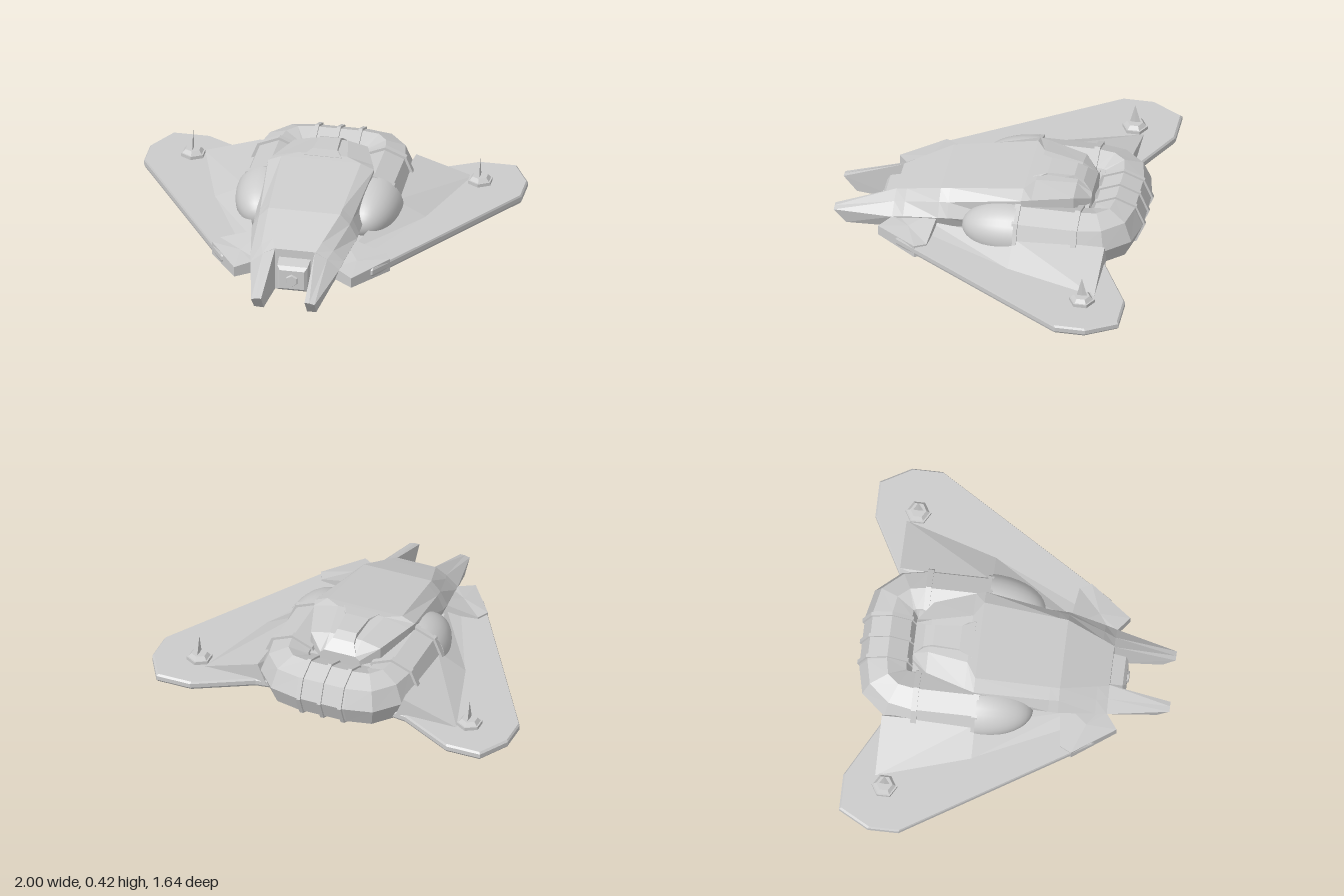
import * as THREE from 'three';

const material = new THREE.MeshStandardMaterial({ color: 0xcccccc, flatShading: true });
const smooth = new THREE.MeshStandardMaterial({ color: 0xcccccc });

// Skin between closed rings of [x, y, z] points, capped at both ends; faces always point outwards.
function loft(rings) {
  const n = rings[0].length, tris = [];
  for (let r = 0; r < rings.length - 1; r++) {
    for (let i = 0; i < n; i++) {
      const j = (i + 1) % n, a = rings[r], b = rings[r + 1];
      tris.push([a[i], a[j], b[j]], [a[i], b[j], b[i]]);
    }
  }
  const cap = (ring, flip) => {
    const c = [0, 1, 2].map((k) => ring.reduce((sum, p) => sum + p[k], 0) / n);
    ring.forEach((p, i) => {
      const q = ring[(i + 1) % n];
      tris.push(flip ? [c, q, p] : [c, p, q]);
    });
  };
  cap(rings[0], true);
  cap(rings[rings.length - 1], false);
  let volume = 0;
  const v = (p) => new THREE.Vector3(...p);
  for (const [a, b, c] of tris) volume += v(a).dot(v(b).cross(v(c)));
  const flat = tris.flatMap(([a, b, c]) => (volume < 0 ? [...a, ...c, ...b] : [...a, ...b, ...c]));
  const geometry = new THREE.BufferGeometry();
  geometry.setAttribute('position', new THREE.Float32BufferAttribute(flat, 3));
  geometry.computeVertexNormals();
  return geometry;
}

export function createModel() {
  const model = new THREE.Group();
  const add = (name, geometry, x = 0, y = 0, z = 0, mat = material) => {
    const mesh = new THREE.Mesh(geometry, mat);
    mesh.name = name;
    mesh.position.set(x, y, z);
    model.add(mesh);
    return mesh;
  };
  const box = (name, w, h, d, x, y, z) => add(name, new THREE.BoxGeometry(w, h, d), x, y, z);
  const mirrored = (rings, s) => rings.map((ring) => ring.map(([x, y, z]) => [x * s, y, z]));

  // Hull: half sections (top edge, shoulder, side, chamfer, belly) mirrored into full rings
  const hullSections = [
    [0.5, [0.11, 0.24], [0.17, 0.205], [0.235, 0.15], [0.2, 0.065], [0.11, 0.005]],
    [0.44, [0.13, 0.265], [0.19, 0.225], [0.246, 0.17], [0.21, 0.072], [0.11, 0]],
    [0.25, [0.19, 0.34], [0.24, 0.285], [0.28, 0.21], [0.23, 0.095], [0.11, 0.032]],
    [0.2, [0.192, 0.348], [0.245, 0.293], [0.28, 0.215], [0.23, 0.1], [0.11, 0.04]],
    [-0.19, [0.21, 0.41], [0.28, 0.38], [0.28, 0.23], [0.21, 0.1], [0.11, 0.06]],
    [-0.24, [0.13, 0.415], [0.265, 0.38], [0.27, 0.24], [0.2, 0.1], [0.11, 0.06]],
    [-0.45, [0.09, 0.395], [0.195, 0.37], [0.2, 0.25], [0.15, 0.12], [0.1, 0.08]],
    [-0.53, [0.085, 0.34], [0.11, 0.32], [0.12, 0.25], [0.1, 0.15], [0.08, 0.11]],
  ];
  add('hull', loft(hullSections.map(([z, ...half]) => [
    ...half.map(([x, y]) => [x, y, z]),
    ...half.slice().reverse().map(([x, y]) => [-x, y, z]),
  ])));

  // Raised spine behind the canopy, belly keel
  add('spine', loft([[-0.22, 0.1, 0.405, 0.415], [-0.29, 0.065, 0.38, 0.42],
    [-0.43, 0.055, 0.36, 0.415], [-0.48, 0.06, 0.33, 0.39], [-0.53, 0.09, 0.28, 0.34]].map(([z, w, low, high]) => [
    [w * 1.2, low, z], [w, high, z], [-w, high, z], [-w * 1.2, low, z],
  ])));
  box('keel', 0.22, 0.07, 0.53, 0, 0.065, -0.065);

  // Nose cannon between the prongs
  add('noseHousing', loft([[0.48, 0.085, 0.03, 0.2], [0.565, 0.08, 0.04, 0.18], [0.58, 0.065, 0.055, 0.16]].map(
    ([z, w, low, high]) => [[w, low, z], [w, high, z], [-w, high, z], [-w, low, z]])));
  const muzzle = new THREE.CylinderGeometry(0.03, 0.045, 0.03, 6).rotateX(Math.PI / 2);
  add('noseMuzzle', muzzle, 0, 0.105, 0.575);

  // Horseshoe engine: an octagon swept around the tail
  const halfPath = [[0.28, -0.15], [0.28, -0.5], [0.265, -0.585], [0.215, -0.645], [0.13, -0.66]];
  const path = [...halfPath, ...halfPath.slice().reverse().map(([x, z]) => [-x, z])];
  const engineY = 0.2, engineRadius = 0.145;
  add('horseshoeEngine', loft(path.map(([x, z], i) => {
    const a = path[Math.max(i - 1, 0)], b = path[Math.min(i + 1, path.length - 1)];
    const length = Math.hypot(b[0] - a[0], b[1] - a[1]);
    const nx = -(b[1] - a[1]) / length, nz = (b[0] - a[0]) / length;
    return Array.from({ length: 8 }, (_, k) => {
      const t = (k * Math.PI) / 4, out = engineRadius * Math.cos(t);
      return [x + nx * out, engineY + engineRadius * Math.sin(t), z + nz * out];
    });
  })));
  for (const x of [-0.115, 0, 0.115]) {
    add('rearEngineBand', new THREE.CylinderGeometry(0.157, 0.157, 0.02, 8).rotateZ(Math.PI / 2), x, engineY, -0.66);
  }

  // Outline points [x, z] stacked into a plate
  const wingOutline = [[0.15, 0.45], [0.4, 0.45], [0.47, 0.34], [1, -0.5], [1, -0.66],
    [0.91, -0.82], [0.72, -0.82], [0.42, -0.66], [0.15, -0.62]];
  const rootOutline = [[0.2, 0.48, 0.15], [0.23, 0.5, 0.15], [0.31, 0.56, 0.14],
    [0.47, 0.34, 0.155], [0.44, 0.28, 0.155], [0.2, 0.25, 0.22]];

  for (const s of [1, -1]) {
    const side = s > 0 ? 'left' : 'right';

    // Front prong
    add(side + 'Prong', loft(mirrored([
      [[0.105, 0.24, 0.5], [0.17, 0.205, 0.5], [0.235, 0.15, 0.5], [0.2, 0.065, 0.5], [0.105, 0.005, 0.5]],
      [[0.115, 0.112, 0.82], [0.14, 0.112, 0.82], [0.168, 0.105, 0.82], [0.165, 0.03, 0.755], [0.115, 0.025, 0.75]],
    ], s)));

    // Wing plate with a thin edge, its leading root block and the fairing up to the engine
    const wing = [[0.985, 0.1], [1, 0.112], [1, 0.135], [0.985, 0.145]].map(([k, y]) =>
      wingOutline.map(([x, z]) => [0.5 + (x - 0.5) * k, y, -0.2 + (z + 0.2) * k]));
    add(side + 'Wing', loft(mirrored(wing, s)));
    add(side + 'WingRootBlock', loft(mirrored([
      rootOutline.map(([x, z]) => [x, 0.085, z]),
      rootOutline.map(([x, z, top]) => [x, top, z]),
    ], s)));
    add(side + 'WingFairing', loft(mirrored([
      [[0.25, 0.12, 0.3], [0.25, 0.16, 0.3], [0.34, 0.144, 0.3], [0.34, 0.12, 0.3]],
      [[0.3, 0.12, -0.17], [0.4, 0.225, -0.17], [0.56, 0.144, -0.17], [0.56, 0.12, -0.17]],
      [[0.36, 0.12, -0.655], [0.41, 0.24, -0.655], [0.71, 0.144, -0.655], [0.71, 0.12, -0.655]],
    ], s)));

    // Rounded engine scoop
    const scoop = new THREE.SphereGeometry(1, 28, 10, 0, Math.PI * 2, 0, Math.PI / 2);
    scoop.rotateX(Math.PI / 2).scale(0.16, 0.152, 0.29);
    add(side + 'EngineScoop', scoop, s * 0.28, engineY, -0.17, smooth);

    // Engine arm bands and the struts to the tail
    for (const z of [-0.175, -0.49]) {
      add(side + 'EngineBand', new THREE.CylinderGeometry(0.16, 0.16, 0.03, 8).rotateX(Math.PI / 2), s * 0.28, engineY, z);
    }
    box(side + 'TailStrut', 0.06, 0.05, 0.05, s * 0.14, 0.27, -0.5);
    box(side + 'UndersideLug', 0.05, 0.05, 0.03, s * 0.32, 0.07, -0.49);
    for (const z of [0.06, 0, -0.06]) box(side + 'BellyPeg', 0.05, 0.04, 0.03, s * 0.22, 0.09, z);

    // Wing turret: hexagonal base and a thin upright blade
    add(side + 'TurretBase', new THREE.CylinderGeometry(0.068, 0.068, 0.02, 6), s * 0.76, 0.153, -0.6);
    add(side + 'TurretCap', new THREE.CylinderGeometry(0.042, 0.06, 0.02, 6), s * 0.76, 0.172, -0.6);
    add(side + 'TurretBlade', new THREE.ConeGeometry(0.028, 0.11, 4).scale(0.08, 1, 1), s * 0.76, 0.235, -0.6);
  }
  return model;
}
